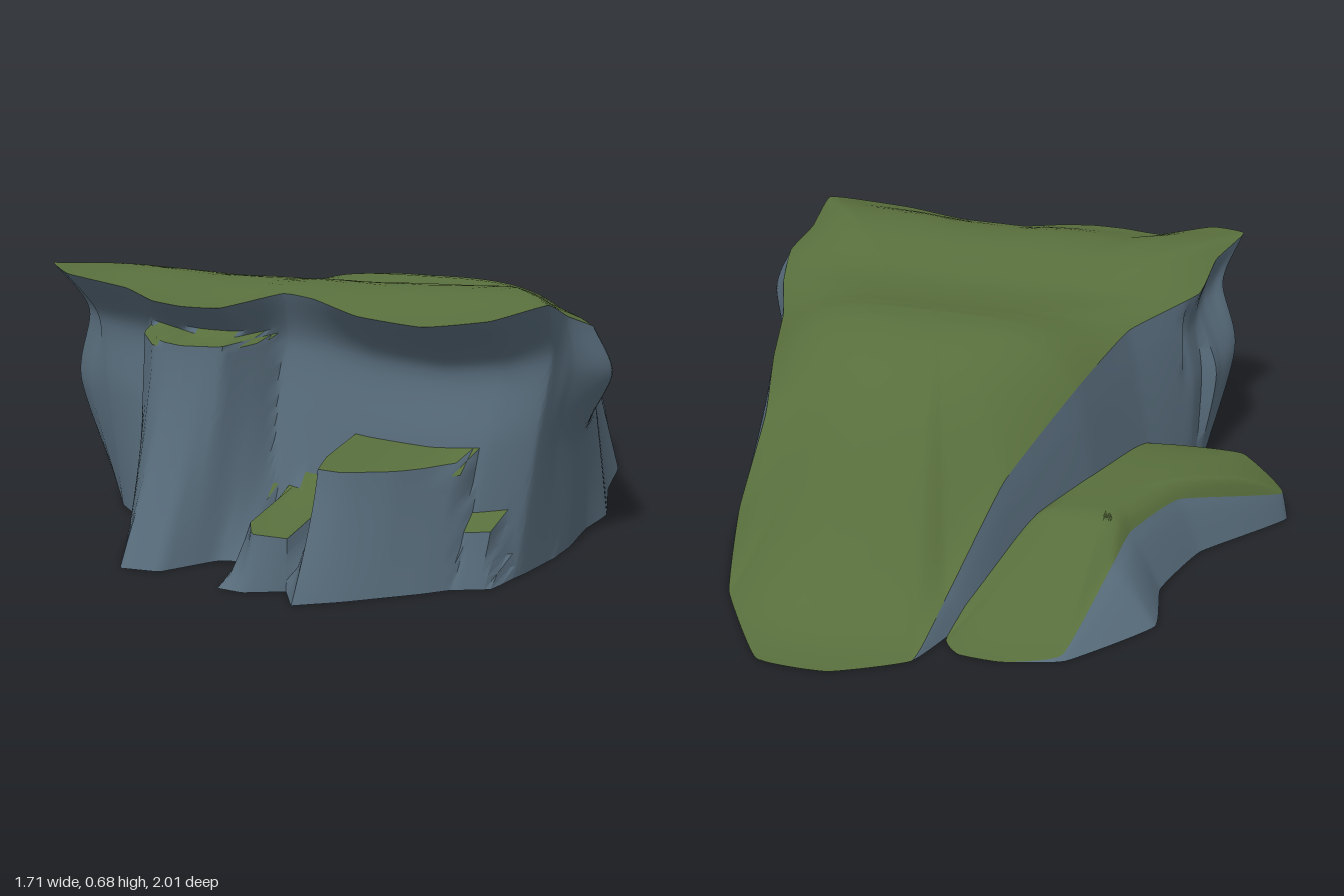
import * as THREE from 'three';
import { toCreasedNormals } from 'three/addons/utils/BufferGeometryUtils.js';

const grassMat = new THREE.MeshStandardMaterial({ color: 0x586e3c, side: THREE.DoubleSide });
const rockMat = new THREE.MeshStandardMaterial({ color: 0x566a79, side: THREE.DoubleSide });
const { lerp, clamp } = THREE.MathUtils;

// Smooth closed loop through a few points, sampled evenly between them
function loop(points) {
  const curve = new THREE.CatmullRomCurve3(points, true, 'catmullrom', 0.2);
  const n = points.length * 10;
  return Array.from({ length: n }, (_, i) => {
    const p = curve.getPoint(i / n);
    p.y = Math.max(0, p.y);
    return p;
  });
}

// Linear reading of a list of [input, value] pairs
function read(list, v) {
  const found = list.findIndex((p) => p[0] >= v);
  const i = found < 0 ? list.length - 1 : Math.max(1, found);
  const [v0, w0] = list[i - 1], [v1, w1] = list[i];
  return lerp(w0, w1, clamp((v - v0) / (v1 - v0), 0, 1));
}

// Skin over closed rings ordered from the top or centre outwards, limited to chosen triangles
function skin(rings, material, name, keep = () => true) {
  const n = rings[0].length;
  const corners = [];
  const add = (...tri) => keep(new THREE.Triangle(...tri)) && corners.push(...tri);
  for (let r = 0; r < rings.length - 1; r++) {
    for (let i = 0; i < n; i++) {
      const j = (i + 1) % n;
      const a = rings[r][i], b = rings[r][j], c = rings[r + 1][i], d = rings[r + 1][j];
      add(a, c, b);
      add(b, c, d);
    }
  }
  const geometry = toCreasedNormals(new THREE.BufferGeometry().setFromPoints(corners), 0.8);
  const mesh = new THREE.Mesh(geometry, material);
  mesh.name = name;
  return mesh;
}

// Grass cap inside a rim, and the rings of a rock wall from the rim down to the base outline
function capAndWall({ rim, base, centre, height, shape = (p) => p, finish = (p) => p }) {
  const top = loop(rim.map((p) => new THREE.Vector3(...p)));
  const foot = loop(base.map(([x, z]) => new THREE.Vector3(x, 0, z)));
  const cap = [];
  for (let k = 0; k <= 20; k++) {
    const t = k / 20;
    cap.push(top.map((p) => {
      const x = lerp(centre[0], p.x, t), z = lerp(centre[1], p.z, t);
      return new THREE.Vector3(x, lerp(height(x, z), p.y, t ** 4), z);
    }));
  }
  const columns = top.map((p, i) => {
    const keys = [0, 0.25, 0.55, 1].map((t, level) => {
      const q = p.clone().lerp(foot[i], t);
      q.y = p.y * [1, 0.8, 0.5, 0][level];
      return shape(q, level);
    });
    return new THREE.CatmullRomCurve3(keys, false, 'catmullrom', 0.4).getPoints(30).map(finish);
  });
  return { cap, wall: columns[0].map((_, r) => columns.map((c) => c[r])) };
}

// Height of the hilltop along z, from the back foot to the cliff lip, rounded off between the points
const ridge = [
  [-1, 0], [-0.85, 0.07], [-0.7, 0.2], [-0.5, 0.42], [-0.4, 0.5], [-0.25, 0.58], [-0.1, 0.605],
  [0, 0.58], [0.2, 0.58], [0.4, 0.66], [0.56, 0.695], [0.7, 0.66], [0.8, 0.61],
];
function hillHeight(x, z) {
  const y = (read(ridge, z - 0.06) + 2 * read(ridge, z) + read(ridge, z + 0.06)) / 4;
  return y + 0.05 * Math.min(0, x - 0.4) * clamp(z, 0, 1);
}

// Outcrops of the front wall: top height, then the front edge as [x, z] at the top and the ground
const ledges = [
  { // upper left
    y: 0.53,
    top: [[-0.38, 0.4], [-0.3, 0.64], [-0.2, 0.74], [-0.1, 0.76], [0, 0.73], [0.05, 0.62], [0.12, 0.4]],
    foot: [[-0.4, 0.4], [-0.3, 0.7], [-0.24, 0.82], [-0.15, 0.97], [-0.05, 0.95], [0.03, 0.82], [0.1, 0.79], [0.15, 0.4]],
  },
  { // large right
    y: 0.3,
    top: [[0.27, 0.4], [0.3, 0.74], [0.34, 0.87], [0.4, 0.87], [0.5, 0.81], [0.62, 0.7], [0.65, 0.4]],
    foot: [[0.23, 0.4], [0.28, 0.92], [0.34, 1], [0.43, 0.93], [0.57, 0.8], [0.66, 0.7], [0.7, 0.4]],
  },
  { // low middle
    y: 0.165,
    top: [[0.11, 0.4], [0.15, 0.84], [0.2, 0.93], [0.3, 0.92], [0.34, 0.4]],
    foot: [[0.09, 0.4], [0.13, 0.98], [0.2, 0.98], [0.3, 0.92], [0.34, 0.4]],
  },
  { // low right
    y: 0.155,
    top: [[0.5, 0.4], [0.63, 0.7], [0.69, 0.68], [0.72, 0.4]],
    foot: [[0.5, 0.4], [0.6, 0.76], [0.7, 0.7], [0.76, 0.4]],
  },
];

// Push the front wall out to the outcrops
function addLedges(p) {
  if (p.z < 0.4) return p;
  let z = p.z;
  for (const { y, top, foot } of ledges) {
    const front = lerp(read(top, p.x), read(foot, p.x), clamp(1 - p.y / y, 0, 1) ** 1.4);
    z = Math.max(z, lerp(p.z, front, clamp((y - p.y) / 0.015, 0, 1)));
  }
  p.z = z;
  return p;
}

// Undercut below the lip and bulges on the sides
function shapeCliff(p, level) {
  const { x, z } = p;
  if (level === 1) {
    if (z > 0.5) p.z = 0.5 + (z - 0.5) * 0.45;
    if (x > 0.6) p.x += 0.06 * Math.exp(-(((z - 0.33) / 0.15) ** 2));
    if (x < -0.5) p.x += 0.03;
  } else if (level === 2) {
    if (z > 0.5) p.z = 0.5 + (z - 0.5) * 0.65;
    if (x < -0.5 && z > 0.35) p.x -= 0.04;
  }
  return p;
}

export function createModel() {
  const model = new THREE.Group();
  model.name = 'grassyCliff';
  const mid = new THREE.Vector3(), normal = new THREE.Vector3();

  // Main cliff: overhanging lip at the front, slope down to the ground behind
  const cliff = capAndWall({
    rim: [
      [-0.6, 0.675, 0.62], [-0.49, 0.66, 0.7], [-0.33, 0.63, 0.67], [-0.2, 0.615, 0.74], [-0.1, 0.61, 0.76],
      [0, 0.61, 0.74], [0.1, 0.635, 0.61], [0.2, 0.63, 0.63], [0.35, 0.61, 0.7], [0.55, 0.61, 0.77],
      [0.7, 0.63, 0.74], [0.8, 0.66, 0.65], [0.79, 0.61, 0.48], [0.81, 0.57, 0.35], [0.76, 0.53, 0.18],
      [0.68, 0.49, 0], [0.61, 0.45, -0.22], [0.53, 0.38, -0.45], [0.54, 0.18, -0.62], [0.52, 0, -0.75],
      [0.32, 0, -1], [0.13, 0, -1], [-0.05, 0, -0.9], [-0.08, 0.08, -0.72], [-0.16, 0.3, -0.48],
      [-0.28, 0.46, -0.2], [-0.36, 0.53, 0.08], [-0.52, 0.58, 0.3], [-0.54, 0.63, 0.48],
    ],
    base: [
      [-0.55, 0.43], [-0.46, 0.54], [-0.36, 0.61], [-0.24, 0.67], [-0.14, 0.72],
      [-0.03, 0.73], [0.06, 0.72], [0.18, 0.7], [0.35, 0.7], [0.5, 0.7],
      [0.62, 0.68], [0.72, 0.6], [0.75, 0.45], [0.76, 0.33], [0.75, 0.17],
      [0.76, 0.02], [0.69, -0.22], [0.65, -0.45], [0.58, -0.62], [0.52, -0.75],
      [0.32, -1], [0.13, -1], [-0.05, -0.9], [-0.12, -0.72], [-0.22, -0.48],
      [-0.36, -0.2], [-0.46, 0.08], [-0.53, 0.25], [-0.55, 0.35],
    ],
    centre: [0.15, -0.1],
    height: hillHeight,
    shape: shapeCliff,
    finish: addLedges,
  });
  const isLedge = (t) => t.getMidpoint(mid).z > 0.4 && mid.y > 0.12 && t.getNormal(normal).y > 0.6;
  const underShelf = (t) => {
    t.getMidpoint(mid);
    return mid.x < 0 && mid.y < 0.11 && mid.z > -0.4 && mid.z < 0.05;
  };
  model.add(
    skin(cliff.cap, grassMat, 'hilltopGrass'),
    skin(cliff.wall, grassMat, 'ledgeGrass', isLedge),
    skin(cliff.wall, rockMat, 'cliffRock', (t) => !isLedge(t) && !underShelf(t)),
  );

  // Low grassy shelf beside the cliff, its inner side open towards it
  const shelf = capAndWall({
    rim: [
      [-0.83, 0.08, 0.08], [-0.7, 0.15, 0.16], [-0.52, 0.17, 0.12], [-0.4, 0.19, 0.05], [-0.3, 0.2, -0.2],
      [-0.17, 0.13, -0.48], [-0.1, 0, -0.78], [-0.15, 0, -0.84], [-0.26, 0, -0.84], [-0.4, 0.01, -0.78],
      [-0.46, 0.12, -0.52], [-0.48, 0.15, -0.38], [-0.57, 0.15, -0.17],
    ],
    base: [
      [-0.85, 0.08], [-0.71, 0.2], [-0.5, 0.16], [-0.4, 0.05], [-0.3, -0.2],
      [-0.17, -0.48], [-0.1, -0.78], [-0.15, -0.84], [-0.26, -0.84], [-0.41, -0.79],
      [-0.59, -0.58], [-0.57, -0.4], [-0.64, -0.18],
    ],
    centre: [-0.41, -0.25],
    height: (x, z) => 0.2 * clamp((z + 0.9) / 0.5, 0, 1) - 0.1 * clamp(-0.55 - x, 0, 1),
  });
  model.add(
    skin(shelf.cap, grassMat, 'shelfGrass'),
    skin(shelf.wall, rockMat, 'shelfRock', (t) => t.getMidpoint(mid).x < -0.42 - 0.39 * mid.z),
  );

  return model;
}
